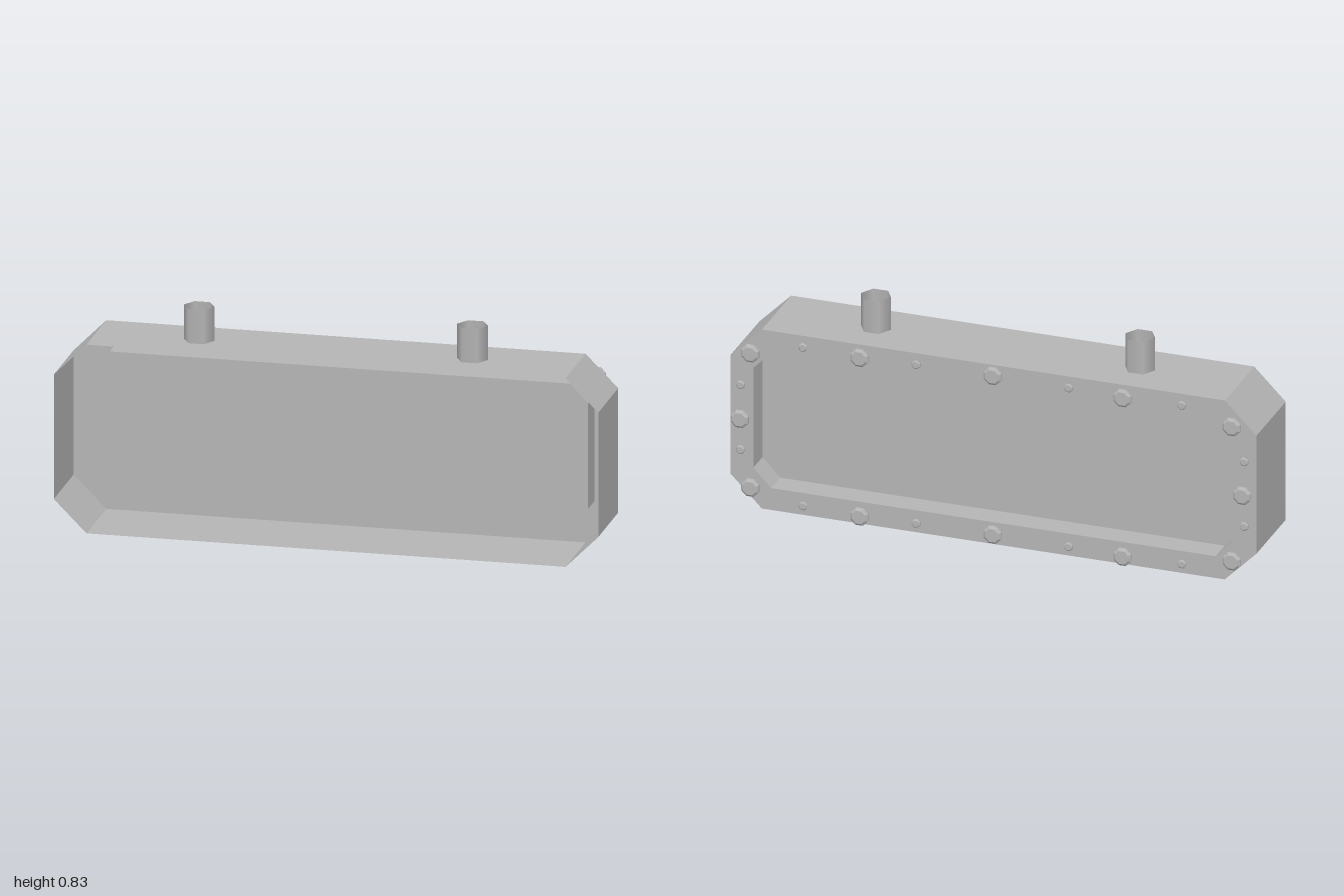
import * as THREE from 'three';

// Corner points of a chamfered rectangle, counter-clockwise seen from +z
function octagon(halfW, bottom, top, chamferX, chamferY) {
  const x = halfW - chamferX, lo = bottom + chamferY, hi = top - chamferY;
  return [[-x, bottom], [x, bottom], [halfW, lo], [halfW, hi],
    [x, top], [-x, top], [-halfW, hi], [-halfW, lo]].map(([a, b]) => new THREE.Vector2(a, b));
}

// Flat-shaded band of quads joining an outline at two depths
function band(points, zBack, zFront) {
  const pos = [];
  points.forEach((p, i) => {
    const q = points[(i + 1) % points.length];
    pos.push(p.x, p.y, zBack, q.x, q.y, zBack, q.x, q.y, zFront);
    pos.push(p.x, p.y, zBack, q.x, q.y, zFront, p.x, p.y, zFront);
  });
  const g = new THREE.BufferGeometry();
  g.setAttribute('position', new THREE.Float32BufferAttribute(pos, 3));
  g.computeVertexNormals();
  return g;
}

// Chamfered bolt head pointing to -z, starting at z = 0
function boltHead(radius, depth) {
  const profile = [[0, 0], [radius * 0.85, 0], [radius, depth * 0.2], [radius, depth * 0.6],
    [radius * 0.75, depth], [0, depth]].map(([r, y]) => new THREE.Vector2(r, y));
  const g = new THREE.LatheGeometry(profile, 8, Math.PI / 8).rotateX(-Math.PI / 2).toNonIndexed();
  g.computeVertexNormals();
  return g;
}

export function createModel() {
  const model = new THREE.Group();
  model.name = 'housing';
  const grey = new THREE.MeshStandardMaterial({ color: 0xb4b4b4, side: THREE.DoubleSide });
  grey.name = 'grey metal';

  const add = (name, geometry, x = 0, y = 0, z = 0) => {
    const mesh = new THREE.Mesh(geometry, grey);
    mesh.name = name;
    mesh.position.set(x, y, z);
    model.add(mesh);
  };

  const back = -0.135, front = 0.172, paneZ = -0.04;
  const outer = octagon(1, 0, 0.705, 0.12, 0.12);
  const inner = octagon(0.912, 0.086, 0.619, 0.067, 0.07);

  // Thin shell, open at the front
  add('outerWall', band(outer, back, front));

  // Back flange with a recessed panel
  const flange = new THREE.Shape(outer);
  flange.holes.push(new THREE.Path(inner));
  add('backFlange', new THREE.ShapeGeometry(flange), 0, 0, back);
  add('recessWall', band(inner, back, paneZ));
  add('recessedPanel', new THREE.ShapeGeometry(new THREE.Shape(inner)), 0, 0, paneZ);

  // Open six-sided pipes on top
  const pipe = new THREE.CylinderGeometry(0.0565, 0.0565, 0.145, 6, 1, true).rotateY(Math.PI / 6);
  for (const x of [-0.502, 0.502]) add('pipe', pipe, x, 0.7605, 0.02);

  // Bolts and rivets around the flange
  const bolt = boltHead(0.036, 0.017);
  const rivet = boltHead(0.017, 0.009);
  const boltZ = -0.153, rivetZ = -0.142;
  for (const y of [0.04, 0.665]) add('middleBolt', bolt, 0, y, back);
  for (const s of [-1, 1]) {
    add('sideBolt', bolt, s * 0.955, 0.3525, boltZ);
    for (const y of [0.225, 0.48]) add('sideRivet', rivet, s * 0.957, y, rivetZ);
    for (const y of [0.088, 0.617]) add('cornerBolt', bolt, s * 0.915, y, boltZ);
    for (const y of [0.04, 0.665]) {
      add('rowBolt', bolt, s * 0.5, y, boltZ);
      for (const x of [0.29, 0.72]) add('rowRivet', rivet, s * x, y, rivetZ);
    }
  }
  return model;
}
